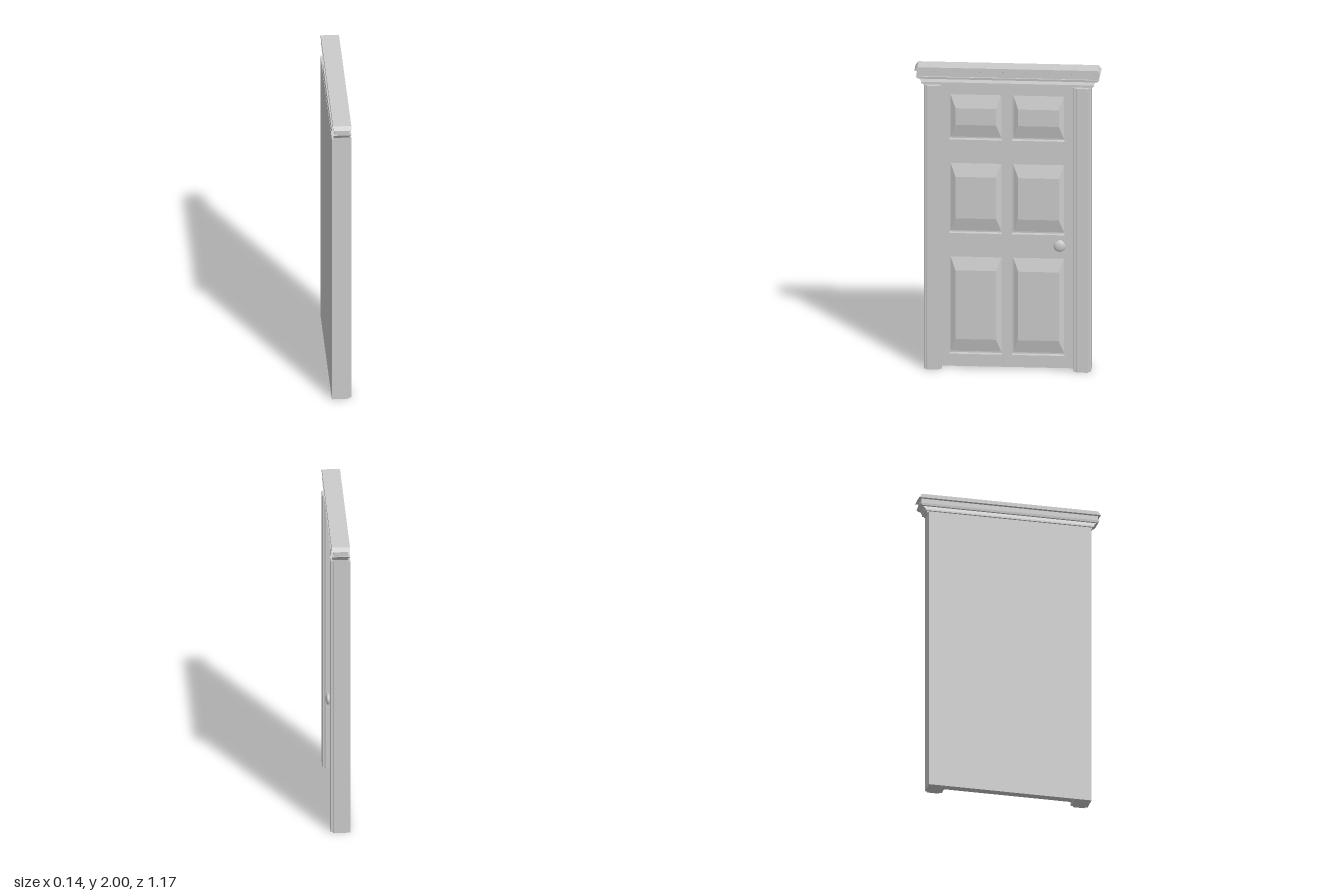
import * as THREE from 'three';

const mat = new THREE.MeshStandardMaterial({ color: 0xcccccc, flatShading: true });
const smoothMat = new THREE.MeshStandardMaterial({ color: 0xcccccc });

function add(group, name, geometry, material = mat) {
  const mesh = new THREE.Mesh(geometry, material);
  mesh.name = name;
  group.add(mesh);
  return mesh;
}

function box(group, name, x0, x1, y0, y1, z0, z1) {
  const g = new THREE.BoxGeometry(x1 - x0, y1 - y0, z1 - z0);
  g.translate((x0 + x1) / 2, (y0 + y1) / 2, (z0 + z1) / 2);
  return add(group, name, g);
}

// Stack of rectangles joined by four sides each and capped at both ends.
// Each layer is [height, half size in x, half size in z].
function rectLoft(layers) {
  const pos = [];
  const ring = ([y, hx, hz]) => [[hx, y, hz], [hx, y, -hz], [-hx, y, -hz], [-hx, y, hz]];
  const quad = (a, b, c, d) => pos.push(...a, ...b, ...c, ...a, ...c, ...d);
  const rings = layers.map(ring);
  for (let i = 0; i < rings.length - 1; i++) {
    for (let k = 0; k < 4; k++) {
      const n = (k + 1) % 4;
      quad(rings[i][k], rings[i][n], rings[i + 1][n], rings[i + 1][k]);
    }
  }
  const b = rings[0], t = rings[rings.length - 1];
  quad(b[3], b[2], b[1], b[0]);
  quad(t[0], t[1], t[2], t[3]);
  const g = new THREE.BufferGeometry();
  g.setAttribute('position', new THREE.Float32BufferAttribute(pos, 3));
  g.computeVertexNormals();
  return g;
}

export function createModel() {
  const door = new THREE.Group();
  door.name = 'panelledDoor';
  const faceX = 0, recessX = -0.032, backX = -0.073;
  const rows = [[0.09, 0.735], [0.89, 1.355], [1.51, 1.81]];
  const cols = [[0.037, 0.367], [-0.356, -0.026]];

  // Front frame of the leaf with six openings (drawn in -z, y)
  const leaf = new THREE.Shape([
    [-0.42, 0.01], [0.42, 0.01], [0.42, 1.88], [-0.42, 1.88],
  ].map(([x, y]) => new THREE.Vector2(x, y)));
  for (const [y0, y1] of rows) for (const [z0, z1] of cols) {
    leaf.holes.push(new THREE.Path([
      [-z1, y0], [-z1, y1], [-z0, y1], [-z0, y0],
    ].map(([x, y]) => new THREE.Vector2(x, y))));

    // Raised field with wide bevels above and below
    const w = (z1 - z0) / 2 - 0.006, h = (y1 - y0) / 2 - 0.01;
    const field = rectLoft([[0, h, w], [0.004, h, w], [0.024, h - 0.085, w - 0.032]]);
    field.rotateZ(-Math.PI / 2);
    field.translate(recessX, (y0 + y1) / 2, (z0 + z1) / 2);
    add(door, 'raisedPanel', field);
  }
  const frame = new THREE.ExtrudeGeometry(leaf, { depth: faceX - recessX, bevelEnabled: false });
  frame.rotateY(Math.PI / 2);
  frame.translate(recessX, 0, 0);
  add(door, 'doorFrame', frame);
  box(door, 'doorCore', -0.065, recessX, 0.01, 1.88, -0.42, 0.42);
  box(door, 'backSheet', backX, backX + 0.002, 0, 1.88, -0.52, 0.52);

  // Stepped door posts (profile in x, -z)
  const profile = [
    [backX, 0.413], [0.032, 0.413], [0.036, 0.417], [0.036, 0.43], [0.046, 0.43], [0.05, 0.434],
    [0.05, 0.504], [0.046, 0.508], [0.036, 0.508], [0.036, 0.516], [0.032, 0.522], [backX, 0.522],
  ];
  for (const s of [1, -1]) {
    const shape = new THREE.Shape(profile.map(([x, z]) => new THREE.Vector2(x, s * z)));
    const post = new THREE.ExtrudeGeometry(shape, { depth: 1.88, bevelEnabled: false });
    post.rotateX(-Math.PI / 2);
    add(door, s > 0 ? 'rightPost' : 'leftPost', post);
  }

  // Moulded crown
  const crown = add(door, 'crown', rectLoft([
    [1.882, 0.04, 0.53], [1.892, 0.04, 0.53], [1.892, 0.051, 0.54], [1.902, 0.051, 0.54],
    [1.924, 0.042, 0.555], [1.924, 0.055, 0.562], [1.938, 0.057, 0.575], [1.938, 0.046, 0.568],
    [1.972, 0.046, 0.568], [1.976, 0.057, 0.583], [2.0, 0.057, 0.565],
  ]));
  crown.position.x = -0.011;

  // Knob with stem and rose
  const knob = new THREE.LatheGeometry([
    [0, -0.002], [0.022, -0.002], [0.022, 0.004], [0.014, 0.012], [0.011, 0.025], [0.013, 0.042],
    [0.026, 0.045], [0.034, 0.05], [0.037, 0.057], [0.034, 0.063], [0.024, 0.068], [0.012, 0.0705],
    [0, 0.071],
  ].map(([r, y]) => new THREE.Vector2(r, y)), 24);
  knob.rotateZ(-Math.PI / 2);
  add(door, 'knob', knob, smoothMat).position.set(0, 0.838, -0.327);

  return door;
}
